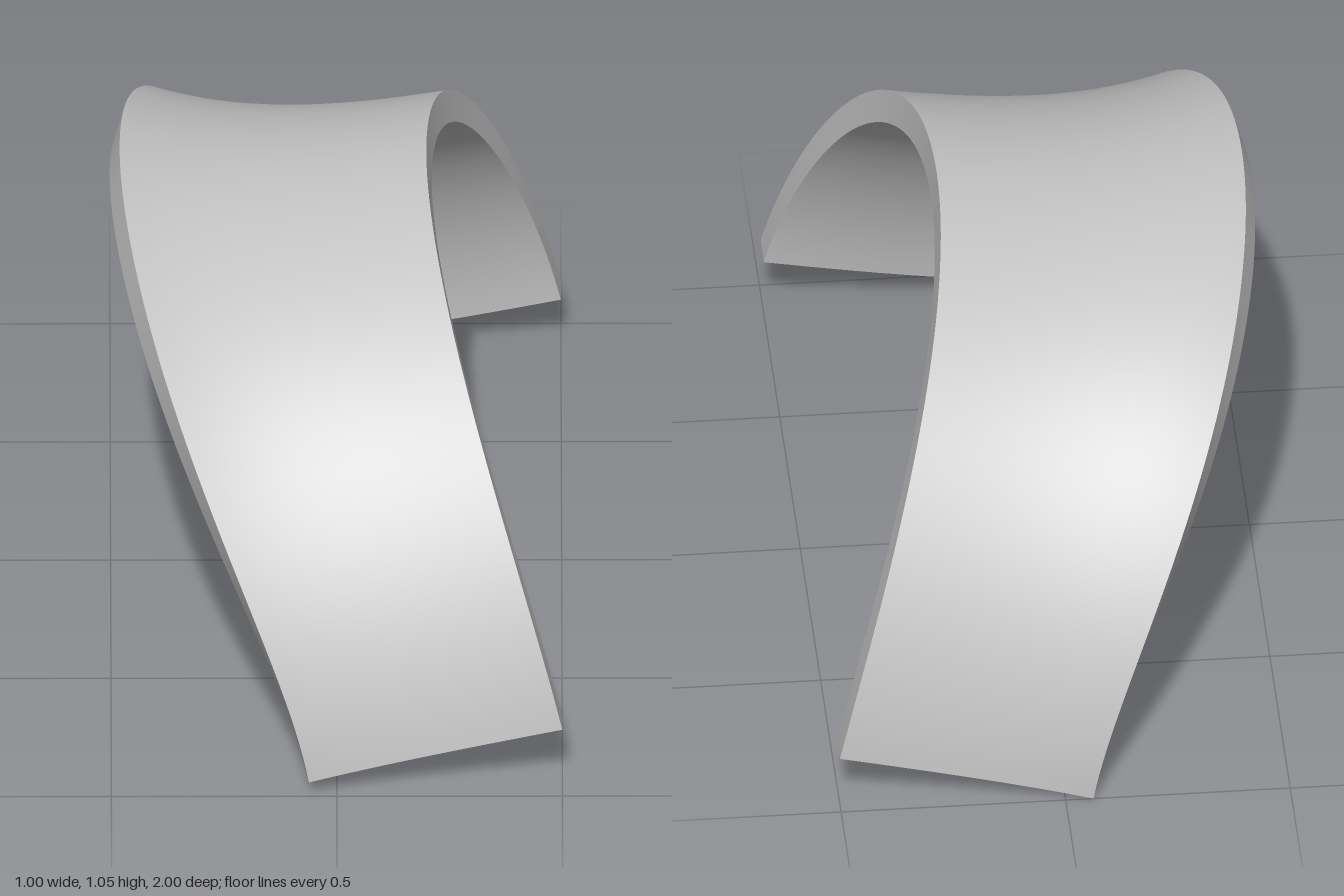
import * as THREE from 'three';

const THICKNESS = 0.072;
const LEAN = 0.035; // shear of the arch towards the back
const { lerp, clamp, degToRad } = THREE.MathUtils;

// x of each arched edge; q is the squared distance from crown (0) to foot (1)
const rightX = (q) => -0.48 + q * (0.55 + q * (0.015 - 0.147 * q));
const leftX = (q) => 0.2 + q * (0.427 - 0.127 * q);

// Outer surface: u runs back (-1) to front (1), v runs from -x edge (0) to +x edge (1)
function outer(u, v) {
  const q = u * u;
  const x = lerp(rightX(q), leftX(q), v);
  const angle = degToRad(u * lerp(88.95, 84.26, v) - q * lerp(0.95, 0.7, v));
  const dip = lerp(0.04, 0.007, q) * 4 * v * (1 - v) * (1.25 - 0.5 * v);
  const centre = 0.04 * v;
  const y = centre + (lerp(1.052, 1.042, v) - centre) * Math.cos(angle);
  const z = lerp(1, 0.974, v) * Math.sin(angle) - LEAN * Math.cos(angle);
  return new THREE.Vector3(x, y * (1 - dip), z * (1 - dip));
}

// Inner surface: outer surface moved inwards along its normal
function inner(u, v) {
  const e = 0.002;
  const du = outer(clamp(u + e, -1, 1), v).sub(outer(clamp(u - e, -1, 1), v));
  const dv = outer(u, clamp(v + e, 0, 1)).sub(outer(u, clamp(v - e, 0, 1)));
  return outer(u, v).addScaledVector(du.cross(dv).normalize(), -THICKNESS);
}
const layer = (u, v, t) => outer(u, v).lerp(inner(u, v), t);

// Smooth sheet over a grid of p, q in 0..1, facing dp x dq
function sheet(f, np, nq) {
  const pos = [], index = [];
  for (let i = 0; i <= np; i++) {
    for (let j = 0; j <= nq; j++) {
      pos.push(...f(i / np, j / nq).toArray());
      if (i < np && j < nq) {
        const a = i * (nq + 1) + j, b = a + nq + 1;
        index.push(a, b, b + 1, a, b + 1, a + 1);
      }
    }
  }
  const g = new THREE.BufferGeometry();
  g.setAttribute('position', new THREE.Float32BufferAttribute(pos, 3));
  g.setIndex(index);
  g.computeVertexNormals();
  return g;
}

export function createModel() {
  const group = new THREE.Group();
  group.name = 'saddleArch';
  const grey = new THREE.MeshStandardMaterial({ color: 0xc4c4c4 });
  grey.name = 'grey';
  const add = (name, f, np, nq) => {
    const mesh = new THREE.Mesh(sheet(f, np, nq), grey);
    mesh.name = name;
    group.add(mesh);
  };
  const U = (p) => 2 * p - 1;

  // Broad curved faces
  add('outerFace', (p, q) => outer(U(p), q), 96, 24);
  add('innerFace', (p, q) => inner(U(p), 1 - q), 96, 24);
  // Rims along both arched edges
  add('rightRim', (p, q) => layer(U(p), 0, 1 - q), 96, 1);
  add('leftRim', (p, q) => layer(U(p), 1, q), 96, 1);
  // Feet
  add('frontFoot', (p, q) => layer(1, p, 1 - q), 24, 1);
  add('backFoot', (p, q) => layer(-1, p, q), 24, 1);
  return group;
}
